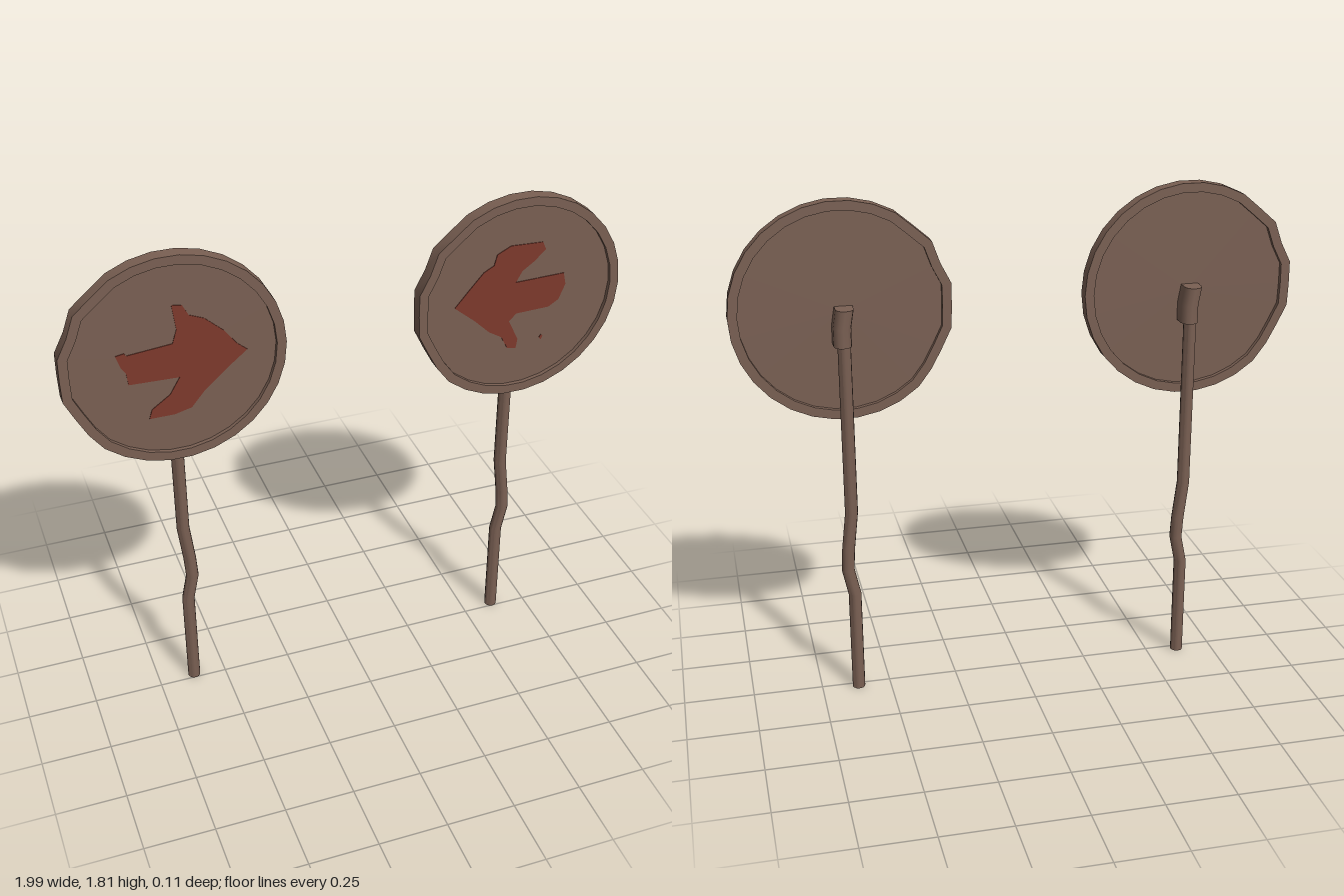
import * as THREE from 'three';
import { toCreasedNormals } from 'three/addons/utils/BufferGeometryUtils.js';

const wood = new THREE.MeshStandardMaterial({ name: 'weathered brown', color: 0x7a6053 });
const paint = new THREE.MeshStandardMaterial({ name: 'rust red paint', color: 0x7d392c });

const CENTRE_Y = 1.43, SIDES = 30;
// Radius factors of the knocked-in left edge, keyed by 12 degree steps
const dents = { 11: 0.985, 12: 1.01, 13: 0.972, 14: 1.005, 15: 0.985, 16: 1.0, 17: 0.972, 18: 0.98 };

// Arrow outlines in hundredths of a unit around the disc centre
const rightArrow = [[-19, 5], [-16, 5.5], [-15.5, 4.5], [0, 6], [1.6, 11], [0.5, 20], [4, 19.5], [6, 15.5],
  [11, 13.4], [17.5, 7.5], [21.5, 2], [25, -1], [17.5, -7], [9.6, -14], [5, -19.5], [-1, -21],
  [-9.6, -21], [-8.5, -17.6], [-2, -13], [1.6, -7], [-15.5, -6.5], [-16, -2], [-17.6, 0.5]];
const leftArrow = [[-24, 0], [-18.5, 6.5], [-13.7, 12], [-10, 14], [-9, 18], [-4, 20.5], [8, 20], [9.3, 17],
  [5, 13], [0.8, 10], [-1.3, 6], [17, 6.5], [18, 2], [15.7, -3.7], [12, -6], [-0.3, -6.4],
  [-3, -9], [0.8, -17], [0.3, -20.5], [-3, -20], [-5.6, -15], [-10.5, -12], [-16.3, -6.4]];
const paintDrop = [[9.3, -18], [10, -16.8], [10.6, -17.6], [10, -19]];

function reshape(geometry, rule) {
  const p = geometry.attributes.position, v = new THREE.Vector3();
  for (let i = 0; i < p.count; i++) {
    rule(v.fromBufferAttribute(p, i));
    p.setXYZ(i, v.x, v.y, v.z);
  }
  return toCreasedNormals(geometry, 0.6);
}

function dentEdge(v) {
  const step = Math.round(Math.atan2(v.y, v.x) / (Math.PI * 2 / SIDES));
  const f = dents[(step + SIDES) % SIDES] ?? 1;
  v.x *= f;
  v.y *= f;
}

function add(group, name, geometry, material, y = 0, z = 0) {
  const mesh = new THREE.Mesh(geometry, material);
  mesh.name = name;
  mesh.position.set(0, y, z);
  group.add(mesh);
}

// Raised square-section ring around the disc
function rimGeometry() {
  const profile = [[0.35, 0], [0.383, 0], [0.383, 0.05], [0.35, 0.05], [0.35, 0]]
    .map(([r, h]) => new THREE.Vector2(r, h));
  return reshape(new THREE.LatheGeometry(profile, SIDES, Math.PI / 2).rotateX(Math.PI / 2), dentEdge);
}

// Recessed round board inside the ring
function panelGeometry() {
  const g = new THREE.CylinderGeometry(0.354, 0.354, 0.018, SIDES, 1, false, Math.PI / 2);
  return reshape(g.rotateX(Math.PI / 2), dentEdge);
}

// Round pole with one kink, set by heights and sideways shifts
function poleGeometry() {
  const heights = [0, 0.38, 0.48, 0.56, 0.7, 1.36];
  const shifts = [0, 0, 0.021, 0.016, 0, 0];
  const n = heights.length - 1;
  return reshape(new THREE.CylinderGeometry(0.023, 0.023, n, 12, n), v => {
    const i = Math.round(v.y + n / 2);
    v.x += shifts[i];
    v.y = heights[i];
  });
}

// Round-backed bracket, squared off where it meets the board
function bracketGeometry() {
  return reshape(new THREE.CylinderGeometry(0.031, 0.031, 0.13, 12, 2), v => {
    if (v.z > 0.001) {
      v.z = 0.045;
      v.x = Math.abs(v.x) < 0.001 ? 0 : Math.sign(v.x) * 0.031;
    }
    v.x += v.y > 0.03 ? -0.006 : 0.005;
  });
}

function paintGeometry(outline) {
  const shape = new THREE.Shape(outline.map(([x, y]) => new THREE.Vector2(x / 100, y / 100)));
  return new THREE.ExtrudeGeometry(shape, { depth: 0.003, bevelEnabled: false });
}

function makeSign(name, x, outlines) {
  const sign = new THREE.Group();
  sign.name = name;
  sign.position.x = x;
  add(sign, 'rim', rimGeometry(), wood, CENTRE_Y);
  add(sign, 'panel', panelGeometry(), wood, CENTRE_Y, 0.026);
  add(sign, 'pole', poleGeometry(), wood, 0, -0.02);
  add(sign, 'bracket', bracketGeometry(), wood, 1.383, -0.025);
  outlines.forEach((o, i) => add(sign, i ? 'paintDrop' : 'arrow', paintGeometry(o), paint, CENTRE_Y, 0.0345));
  return sign;
}

export function createModel() {
  const model = new THREE.Group();
  model.name = 'arrowSigns';
  model.add(makeSign('rightSign', -0.617, [rightArrow]));
  model.add(makeSign('leftSign', 0.617, [leftArrow, paintDrop]));
  return model;
}
